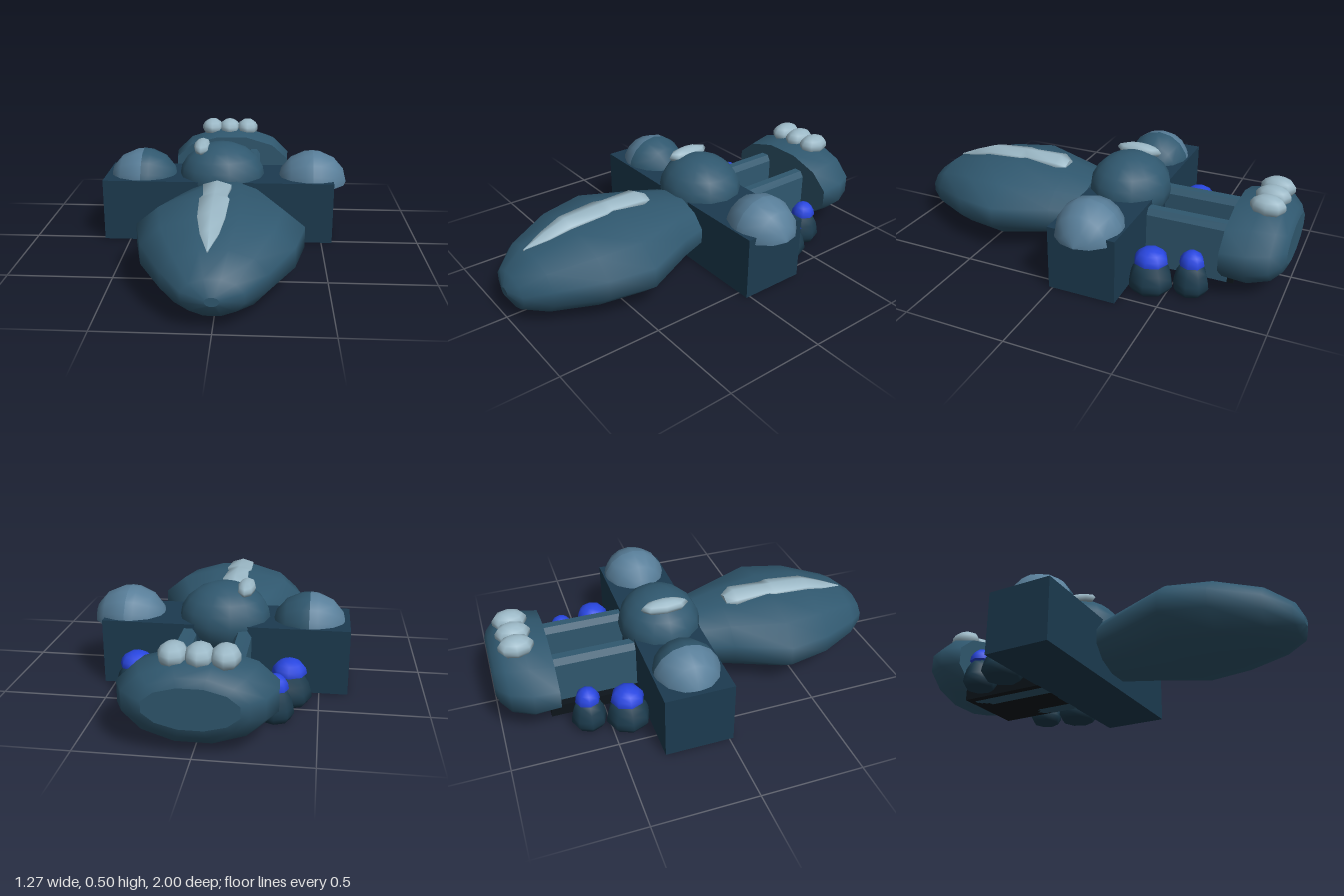
import * as THREE from 'three';

const mat = (color) => new THREE.MeshStandardMaterial({ color });
const HULL = mat(0x30586f), BASE = mat(0x1c3b50), PALE = mat(0x9bb8c6);
const DOME = mat(0x587e99), BODY = mat(0x1c3b4d), CAP = mat(0x2846e0), DARK = mat(0x0d151b);

// Smooth skin through oval sections [z, half width, low y, high y], ordered by rising z, with flat ends.
function loft(sections, sides = 12, turn = Math.PI / 12) {
  const pos = [], index = [];
  const widen = 1 / Math.cos(turn);
  const ring = ([z, hw, lo, hi]) => {
    for (let j = 0; j < sides; j++) {
      const a = turn + (j / sides) * Math.PI * 2;
      pos.push(Math.cos(a) * hw * widen, (lo + hi) / 2 + Math.sin(a) * (hi - lo) / 2 * widen, z);
    }
  };
  sections.forEach(ring);
  for (let i = 0; i < sections.length - 1; i++) {
    for (let j = 0; j < sides; j++) {
      const k = (j + 1) % sides;
      const a = i * sides + j, b = i * sides + k, c = b + sides, d = a + sides;
      index.push(a, b, c, a, c, d);
    }
  }
  [sections[0], sections[sections.length - 1]].forEach((s, e) => {
    const first = pos.length / 3;
    ring(s);
    pos.push(0, (s[2] + s[3]) / 2, s[0]);
    for (let j = 0; j < sides; j++) {
      const p = first + j, q = first + (j + 1) % sides;
      index.push(first + sides, e ? p : q, e ? q : p);
    }
  });
  const g = new THREE.BufferGeometry();
  g.setAttribute('position', new THREE.Float32BufferAttribute(pos, 3));
  g.setIndex(index);
  g.computeVertexNormals();
  return g;
}

const box = (x0, x1, y0, y1, z0, z1) =>
  new THREE.BoxGeometry(x1 - x0, y1 - y0, z1 - z0)
    .translate((x0 + x1) / 2, (y0 + y1) / 2, (z0 + z1) / 2);

const ellipsoid = (rx, ry, rz, w = 10, h = 7) => new THREE.SphereGeometry(1, w, h).scale(rx, ry, rz);

export function createModel() {
  const model = new THREE.Group();
  const add = (name, geometry, material, x = 0, y = 0, z = 0, parent = model) => {
    const mesh = new THREE.Mesh(geometry, material);
    mesh.name = name;
    mesh.position.set(x, y, z);
    parent.add(mesh);
    return mesh;
  };

  // Cross block
  add('crossBlock', box(-0.635, 0.555, 0, 0.32, -0.315, 0.02), BASE);

  // Rounded nose and its pale ridge
  add('nose', loft([
    [0.03, 0.22, 0.05, 0.33], [0.17, 0.27, 0.035, 0.355], [0.43, 0.39, 0.012, 0.38],
    [0.65, 0.34, 0.015, 0.362], [0.86, 0.225, 0.03, 0.305], [0.965, 0.13, 0.065, 0.225],
    [0.995, 0.03, 0.12, 0.16],
  ]), HULL);
  add('noseRidge', loft([
    [0.2, 0.04, 0.32, 0.375], [0.25, 0.068, 0.33, 0.4], [0.42, 0.055, 0.34, 0.4],
    [0.46, 0.068, 0.34, 0.4], [0.65, 0.06, 0.325, 0.388], [0.76, 0.04, 0.3, 0.35],
    [0.87, 0.003, 0.295, 0.305],
  ], 6, Math.PI / 6), PALE, -0.025);

  // Rounded tail with three pale lumps
  add('tail', loft([
    [-1, 0.2, 0.13, 0.31], [-0.985, 0.235, 0.09, 0.345], [-0.94, 0.295, 0.045, 0.38],
    [-0.84, 0.34, 0.02, 0.397], [-0.72, 0.333, 0.03, 0.37],
  ]), HULL);
  for (const x of [-0.125, -0.02, 0.09]) {
    add('tailLump', ellipsoid(0.064, 0.053, 0.085, 8, 7), PALE, x, 0.4, -0.87);
  }

  // Middle dome with a pale bar
  add('middleDome', ellipsoid(0.225, 0.18, 0.205, 14, 10), HULL, -0.025, 0.31, -0.15);
  add('middleDomeBar', ellipsoid(0.045, 0.037, 0.12, 8, 6), PALE, -0.13, 0.465, -0.15);

  // Side domes, each made of two quarter spheres that meet at a seam
  const quarter = (dir) => {
    const profile = [new THREE.Vector2(0.165, 0)];
    for (const k of [3, 2, 1, 0]) {
      const t = (k / 7) * Math.PI;
      profile.push(new THREE.Vector2(Math.sin(t) * 0.165, Math.cos(t) * 0.18));
    }
    const g = new THREE.LatheGeometry(profile, 8, 0, Math.PI);
    g.rotateZ(Math.PI / 2).rotateY(dir > 0 ? Math.PI : 0);
    return g;
  };
  const domeSkin = (m) => {
    const c = m.clone();
    c.side = THREE.DoubleSide;
    return c;
  };
  for (const [name, x, inner] of [['rightDome', -0.44, HULL], ['leftDome', 0.45, DOME]]) {
    const dome = new THREE.Group();
    dome.name = name;
    dome.position.set(x, 0.285, -0.148);
    model.add(dome);
    add('domeRightHalf', quarter(-1), domeSkin(DOME), 0, 0, 0, dome);
    add('domeLeftHalf', quarter(1), domeSkin(inner), 0, 0, 0, dome);
    const floor = new THREE.CircleGeometry(1, 16).rotateX(Math.PI / 2).scale(0.175, 1, 0.16);
    add('domeFloor', floor, BASE, 0, 0, 0, dome);
  }

  // Channel between block and tail: dark floor and two bevelled walls
  add('channelFloor', box(-0.21, 0.17, 0, 0.06, -0.76, -0.31), DARK);
  const wall = new THREE.Shape();
  [[-0.04, 0], [0.04, 0], [0.04, 0.27], [0.02, 0.3], [-0.02, 0.3], [-0.04, 0.27]]
    .forEach(([x, y], i) => (i ? wall.lineTo(x, y) : wall.moveTo(x, y)));
  for (const x of [-0.132, 0.132]) {
    add('channelWall', new THREE.ExtrudeGeometry(wall, { depth: 0.42, bevelEnabled: false }), HULL, x, 0, -0.73);
  }

  // Bell-shaped pods with blue caps, mirrored on both sides
  const bell = [[0, 0], [0.8, 0], [1, 0.03], [0.95, 0.06], [0.84, 0.1], [0.62, 0.135], [0, 0.148]];
  for (const side of [-1, 1]) {
    for (const [name, x, z, r, cap] of [['largePod', 0.36, -0.415, 0.108, 0.082], ['smallPod', 0.308, -0.595, 0.086, 0.06]]) {
      const pod = new THREE.Group();
      pod.name = name;
      pod.position.set(side * x, 0, z);
      model.add(pod);
      add('podBody', new THREE.LatheGeometry(bell.map(([a, y]) => new THREE.Vector2(a * r, y)), 8), BODY, 0, 0, 0, pod);
      const dome = new THREE.SphereGeometry(1, 8, 4, 0, Math.PI * 2, 0, Math.PI / 2).scale(cap, 0.068, cap);
      add('podCap', dome, CAP, 0, 0.145, 0, pod);
      const under = new THREE.CircleGeometry(cap, 8).rotateX(Math.PI / 2);
      add('podCapUnderside', under, CAP, 0, 0.145, 0, pod);
    }
  }
  return model;
}
